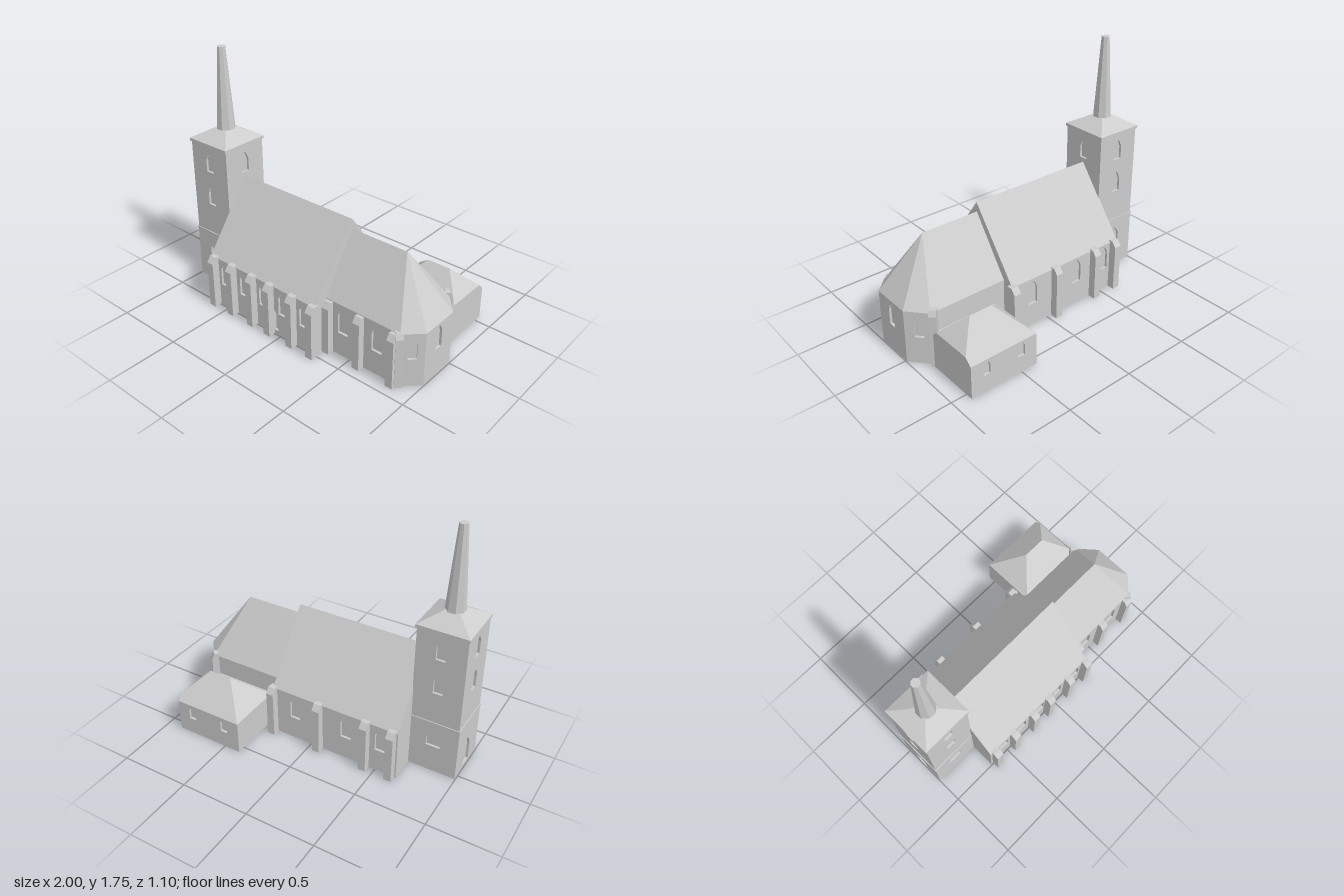
import * as THREE from 'three';
import { ConvexGeometry } from 'three/addons/geometries/ConvexGeometry.js';

const stone = new THREE.MeshStandardMaterial({ color: 0xcccccc });
stone.name = 'pale grey stone';
const T = 0.018; // depth of the window recesses
const CZ = 0.135; // z of the church's long axis

function add(parent, name, geometry) {
  const mesh = new THREE.Mesh(geometry, stone);
  mesh.name = name;
  parent.add(mesh);
  return mesh;
}

// Convex solid from a handful of [x, y, z] corners
const hull = (pts) => new ConvexGeometry(pts.map((p) => new THREE.Vector3(...p)));

// Pointed opening: centre u, width, sill, spring line, tip
function lancet([u, w, sill, spring, tip]) {
  const h = w / 2;
  return new THREE.Path([
    [u - h, sill], [u + h, sill], [u + h, spring], [u + h * 0.55, spring + (tip - spring) * 0.6],
    [u, tip], [u - h * 0.55, spring + (tip - spring) * 0.6], [u - h, spring],
  ].map((p) => new THREE.Vector2(...p)));
}

// Wall from plan point a to b (outside on the right), with recessed openings
function wall(parent, name, a, b, y0, y1, openings = []) {
  const dx = b[0] - a[0], dz = b[1] - a[1], len = Math.hypot(dx, dz);
  const g = new THREE.Group();
  g.name = name;
  g.position.set(a[0], 0, a[1]);
  g.rotation.y = Math.atan2(-dz, dx);
  const shape = new THREE.Shape([[0, y0], [len, y0], [len, y1], [0, y1]].map((p) => new THREE.Vector2(...p)));
  shape.holes = openings.map(lancet);
  add(g, name + 'Face', new THREE.ExtrudeGeometry(shape, { depth: T, bevelEnabled: false }).translate(0, 0, -T));
  if (openings.length) {
    add(g, name + 'Recess', new THREE.PlaneGeometry(len - 2 * T, y1 - y0).translate(len / 2, (y0 + y1) / 2, -T + 0.001));
  }
  parent.add(g);
}

// Ring of walls around a plan; openings are listed per side
function walls(parent, name, plan, y0, y1, openings) {
  plan.forEach((a, i) => wall(parent, name + 'Wall', a, plan[(i + 1) % plan.length], y0, y1, openings[i]));
  if (y0 === 0) {
    const floor = new THREE.Shape(plan.map(([x, z]) => new THREE.Vector2(x, z)));
    add(parent, name + 'Floor', new THREE.ShapeGeometry(floor).rotateX(Math.PI / 2));
  }
}

// Plan rectangle: front, +x side, back, -x side
const rect = (x0, x1, z0, z1) => [[x0, z1], [x1, z1], [x1, z0], [x0, z0]];

// Buttress with a sloping cap, projecting along the given angle
function buttress(parent, x, z, angle = 0, depth = 0.055, w = 0.054, top = 0.385) {
  const pts = [];
  for (const s of [-w / 2, w / 2]) {
    pts.push([s, 0, -0.02], [s, 0, depth], [s, top - 0.04, depth], [s, top, depth * 0.45], [s, top, -0.02]);
  }
  const m = add(parent, 'buttress', hull(pts));
  m.position.set(x, 0, z);
  m.rotation.y = angle;
}

// Box between two heights around a centre
function slab(parent, name, x, z, hx, hz, y0, y1) {
  add(parent, name, new THREE.BoxGeometry(2 * hx, y1 - y0, 2 * hz).translate(x, (y0 + y1) / 2, z));
}

function tower() {
  const g = new THREE.Group();
  g.name = 'tower';
  const x = -0.821, h = 0.174, k = 0.171;
  const low = [h, 0.1, 0.205, 0.265, 0.33];
  const mid = [k, 0.066, 0.63, 0.72, 0.785];
  const high = [k, 0.066, 0.885, 0.975, 1.035];
  const door = [h, 0.09, 0.02, 0.16, 0.235];
  walls(g, 'lowerTower', rect(x - h, x + h, CZ - h, CZ + h), 0, 0.39, [[low], [], [low], [door]]);
  walls(g, 'upperTower', rect(x - k, x + k, CZ - k, CZ + k), 0.39, 1.08,
    [[mid, high], [high], [mid, high], [mid, high]]);
  slab(g, 'stringCourse', x, CZ, 0.177, 0.177, 0.386, 0.402);
  slab(g, 'cornice', x, CZ, 0.179, 0.181, 1.08, 1.1);
  // low roof rising to the spire
  const roof = [];
  for (const sx of [-1, 1]) for (const sz of [-1, 1]) {
    roof.push([x + sx * 0.179, 1.1, CZ + sz * 0.181], [x + sx * 0.055, 1.172, CZ + sz * 0.055]);
  }
  add(g, 'towerRoof', hull(roof));
  const spire = new THREE.CylinderGeometry(0.029, 0.067, 0.575, 8).toNonIndexed();
  spire.computeVertexNormals();
  add(g, 'spire', spire.rotateY(Math.PI / 8).translate(x, 1.4575, CZ));
  return g;
}

function nave() {
  const g = new THREE.Group();
  g.name = 'nave';
  const x0 = -0.655, x1 = 0.305, z0 = -0.225, z1 = 0.492;
  const pane = (x) => [x, 0.076, 0.17, 0.295, 0.355];
  const front = [-0.525, -0.34, -0.158, 0.02, 0.205].map((x) => pane(x - x0));
  front.push([-0.065 - x0, 0.082, 0.03, 0.165, 0.185]);
  const back = [0.13, -0.27, -0.53].map((x) => pane(x1 - x));
  walls(g, 'nave', rect(x0, x1, z0, z1), 0, 0.372, [front, [], back, []]);
  const roof = [];
  for (const x of [x0, x1]) roof.push([x, 0.37, z0 - 0.002], [x, 0.37, z1 + 0.002], [x, 0.855, CZ]);
  add(g, 'naveRoof', hull(roof));
  for (const x of [-0.612, -0.435, -0.245, -0.085, 0.115, 0.29]) buttress(g, x, z1);
  for (const x of [-0.618, -0.425, -0.065, 0.302]) buttress(g, x, z0, Math.PI);
  return g;
}

function chancel() {
  const g = new THREE.Group();
  g.name = 'chancel';
  const plan = [[0.3, 0.385], [0.88, 0.385], [0.995, 0.278], [0.995, -0.008], [0.88, -0.14], [0.3, -0.14]];
  const pane = (u, w) => [u, w, 0.2, 0.315, 0.372];
  walls(g, 'chancel', plan, 0, 0.39, [
    [[0.14, 0.08, 0.17, 0.305, 0.37], [0.41, 0.08, 0.17, 0.305, 0.37]],
    [pane(0.08, 0.056)], [pane(0.143, 0.06)], [pane(0.095, 0.062)], [], [],
  ]);
  // roof with a faceted end over the apse
  add(g, 'chancelRoof', hull([...plan.map(([x, z]) => [x, 0.39, z]), [0.3, 0.785, CZ], [0.73, 0.785, CZ]]));
  for (const x of [0.333, 0.582, 0.842]) buttress(g, x, 0.385, 0, 0.05);
  buttress(g, 0.87, 0.38, Math.PI / 4, 0.03, 0.05, 0.4);
  buttress(g, 0.865, -0.145, Math.PI * 0.75, 0.03, 0.05, 0.42);
  return g;
}

function vestry() {
  const g = new THREE.Group();
  g.name = 'vestry';
  const x0 = 0.38, x1 = 0.887, z0 = -0.555, z1 = -0.155, zr = -0.355;
  const pane = (x) => [x1 - x, 0.055, 0.125, 0.195, 0.232];
  walls(g, 'vestry', rect(x0, x1, z0, -0.135), 0, 0.24, [[], [], [pane(0.5), pane(0.77)], []]);
  // full hip on one end, half hip on the other
  add(g, 'vestryRoof', hull([
    [x0, 0.24, z0], [x0, 0.24, z1], [x1, 0.24, z0], [x1, 0.24, z1],
    [x1, 0.286, z0 + 0.048], [x1, 0.286, z1 - 0.048], [0.572, 0.43, zr], [0.74, 0.43, zr],
  ]));
  return g;
}

export function createModel() {
  const church = new THREE.Group();
  church.name = 'church';
  church.add(tower(), nave(), chancel(), vestry());
  return church;
}
